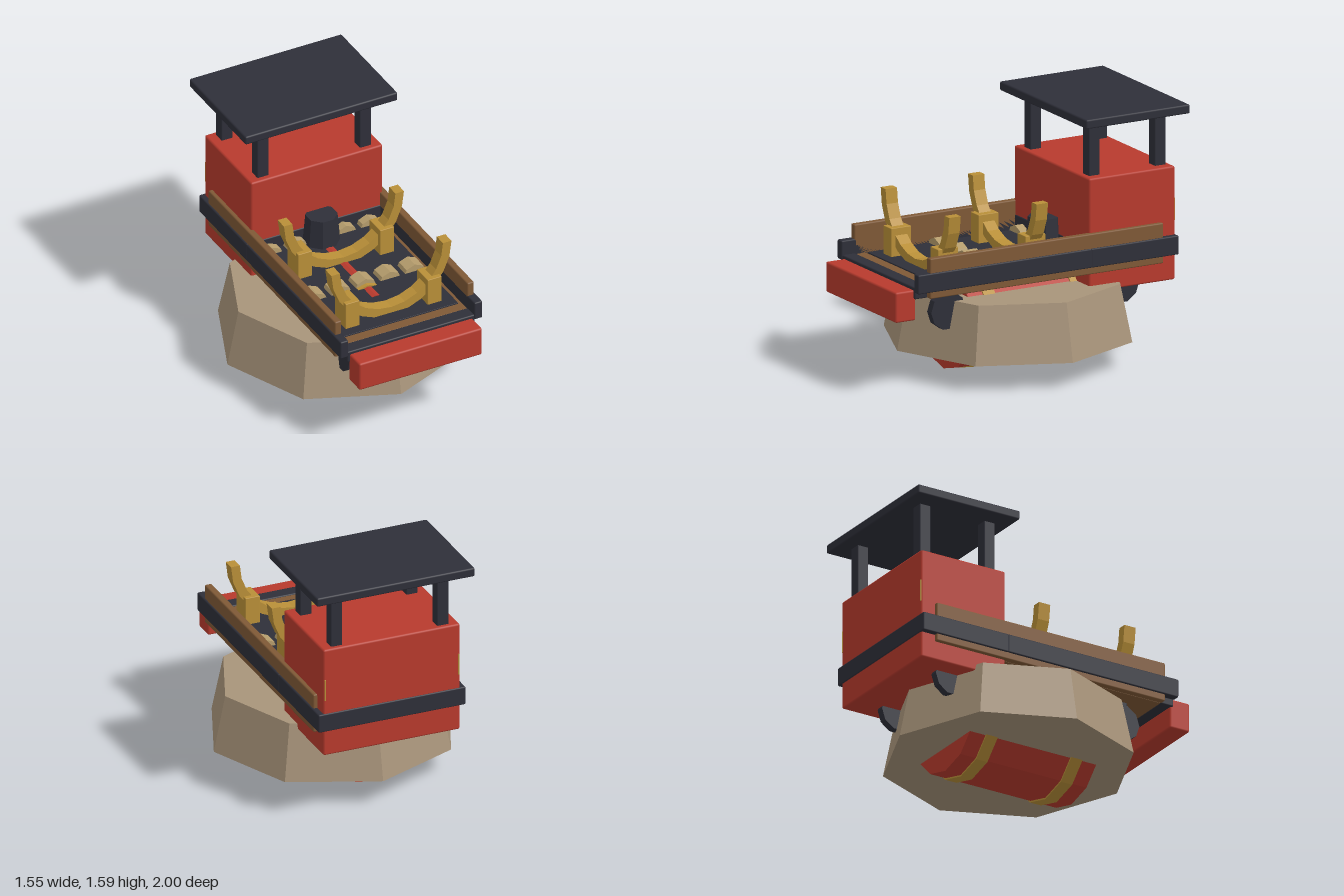
import * as THREE from 'three';
import { RoundedBoxGeometry } from 'three/addons/geometries/RoundedBoxGeometry.js';

const material = (name, color) => {
  const m = new THREE.MeshStandardMaterial({ color });
  m.name = name;
  return m;
};

// Faceted normals for low-poly parts
const flat = (geometry) => {
  const g = geometry.index ? geometry.toNonIndexed() : geometry;
  g.computeVertexNormals();
  return g;
};

export function createModel() {
  const red = material('red paint', 0xb83a2d);
  const dark = material('dark iron', 0x2e2f39);
  const gold = material('brass', 0xb98f38);
  const stone = material('stone', 0xa8947a);
  const brown = material('brown timber', 0x7f5936);
  const straw = material('pale roll', 0xb59c6c);

  const model = new THREE.Group();
  model.name = 'vehicle';

  const add = (name, geometry, mat, x = 0, y = 0, z = 0) => {
    const mesh = new THREE.Mesh(geometry, mat);
    mesh.name = name;
    mesh.position.set(x, y, z);
    model.add(mesh);
    return mesh;
  };

  // Softly bevelled box given by its limits on each axis
  const box = (name, mat, [x0, x1], [y0, y1], [z0, z1], bevel = 0.008) => add(
    name, new RoundedBoxGeometry(x1 - x0, y1 - y0, z1 - z0, 1, bevel), mat,
    (x0 + x1) / 2, (y0 + y1) / 2, (z0 + z1) / 2);

  // The same box on both sides
  const pair = (name, mat, [x0, x1], y, z, bevel) => {
    box(name + 'Left', mat, [x0, x1], y, z, bevel);
    box(name + 'Right', mat, [-x1, -x0], y, z, bevel);
  };

  // Faceted cylinder lying along z
  const drum = (name, mat, radius, length, sides, x, y, z) => add(
    name, flat(new THREE.CylinderGeometry(radius, radius, length, sides).rotateX(Math.PI / 2)),
    mat, x, y, z);

  // Octagonal skirt
  add('skirt', flat(new THREE.CylinderGeometry(0.7, 0.775, 0.36, 8)), stone, 0, 0.35, -0.03);

  // Lengthwise barrel with two hoops
  drum('barrel', red, 0.34, 0.9, 12, 0, 0.355, -0.03);
  for (const z of [0.275, -0.33]) drum('barrelHoop', gold, 0.35, 0.08, 12, 0, 0.355, z);

  // Deck tray, floor, sides and rails
  box('deckTray', brown, [-0.43, 0.43], [0.61, 0.68], [-0.84, 0.785], 0.004);
  box('deckFloor', dark, [-0.405, 0.405], [0.65, 0.688], [-0.84, 0.715], 0.002);
  box('frontSill', dark, [-0.435, 0.435], [0.61, 0.685], [0.785, 0.875]);
  pair('sidePlank', brown, [0.43, 0.475], [0.61, 0.862], [-0.84, 0.79]);
  pair('sideRail', dark, [0.43, 0.485], [0.653, 0.772], [-0.335, 0.88]);
  box('bumper', red, [-0.42, 0.42], [0.475, 0.665], [0.86, 1.0], 0.012);

  // Cabin with belt, back corner trims, posts and roof
  box('cabin', red, [-0.45, 0.45], [0.49, 1.2], [-0.935, -0.335], 0.012);
  box('cabinBelt', dark, [-0.485, 0.485], [0.653, 0.772], [-0.942, -0.33]);
  pair('cornerTrim', gold, [0.436, 0.444], [0.86, 1.0], [-0.938, -0.93], 0.001);
  for (const z of [-0.408, -0.868]) {
    pair('roofPost', dark, [0.312, 0.388], [1.19, 1.54], [z - 0.038, z + 0.038], 0.006);
  }
  box('roof', dark, [-0.52, 0.52], [1.535, 1.592], [-1.0, -0.275], 0.01);

  // Tapered funnel in front of the cabin
  add('funnel', flat(new THREE.CylinderGeometry(0.098, 0.115, 0.2, 8).rotateY(Math.PI / 8)),
    dark, 0, 0.773, -0.28);

  // Cradles: a half ring held by two blocks
  const arc = new THREE.Shape();
  const steps = 12;
  const ring = (r, i) => {
    const a = Math.PI + (Math.PI * i) / steps;
    return [r * Math.cos(a), r * Math.sin(a)];
  };
  arc.moveTo(...ring(0.41, 0));
  for (let i = 1; i <= steps; i++) arc.lineTo(...ring(0.41, i));
  for (let i = steps; i >= 0; i--) arc.lineTo(...ring(0.352, i));
  arc.closePath();
  const cradle = flat(new THREE.ExtrudeGeometry(arc, { depth: 0.08, bevelEnabled: false }));
  for (const z of [0.58, -0.03]) {
    add('cradleArc', cradle, gold, 0, 1.08, z - 0.04);
    pair('cradleBlock', gold, [0.232, 0.328], [0.67, 0.865], [z - 0.07, z + 0.07], 0.004);
  }

  // Two rows of rolls set into the deck
  for (const z of [0.24, -0.325]) {
    for (let i = -2; i <= 2; i++) drum('deckRoll', straw, 0.08, 0.1, 8, i * 0.168, 0.655, z);
  }

  // Small wheels hung below the deck
  const wheel = flat(new THREE.CylinderGeometry(0.12, 0.12, 0.05, 10).rotateZ(Math.PI / 2));
  for (const z of [0.578, -0.635]) {
    for (const x of [0.303, -0.303]) add('wheel', wheel, dark, x, 0.475, z);
    pair('wheelHanger', dark, [0.283, 0.323], [0.5, 0.65], [z - 0.035, z + 0.035], 0.004);
  }

  return model;
}
